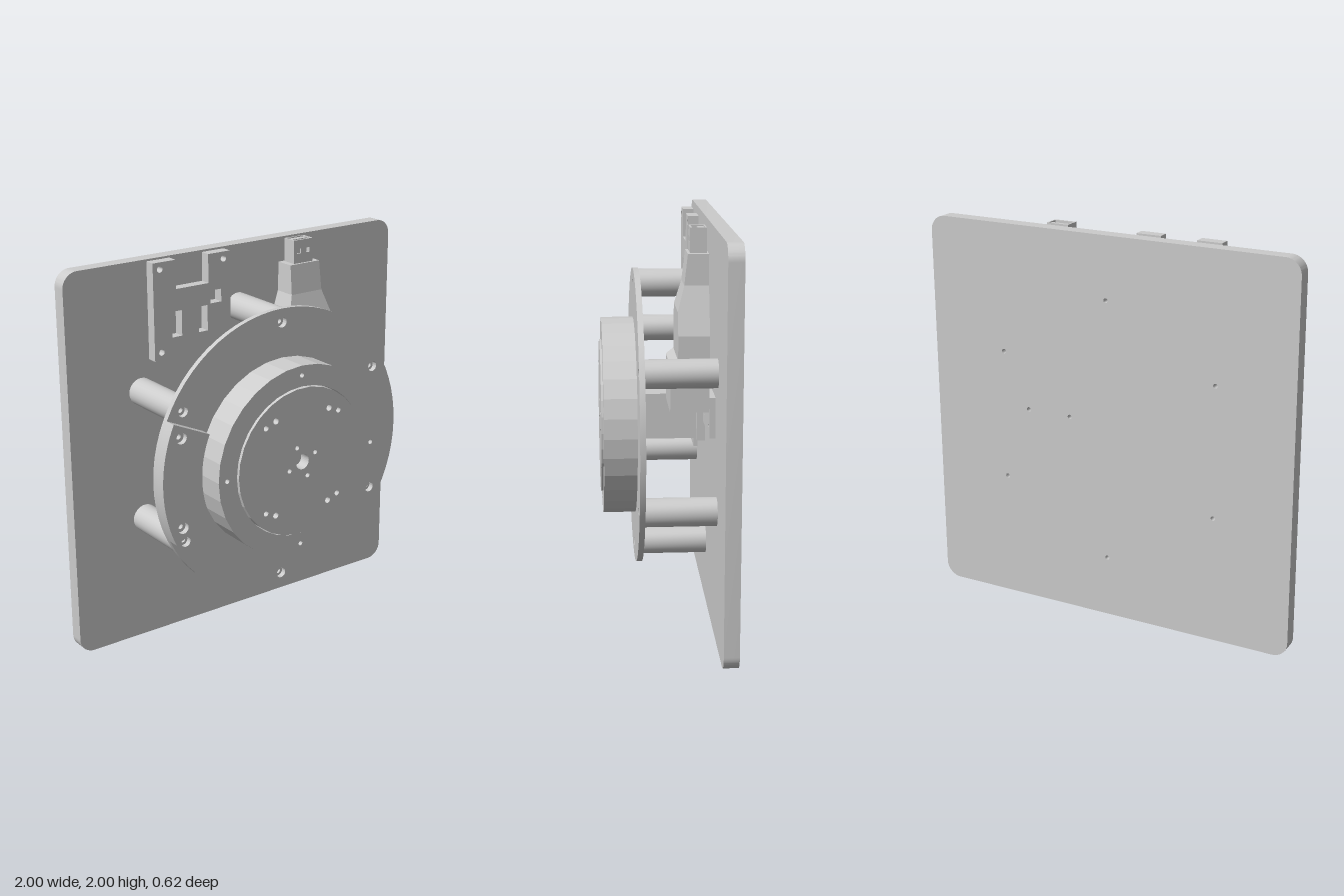
import * as THREE from 'three';
import { toCreasedNormals } from 'three/addons/utils/BufferGeometryUtils.js';

const CY = 1; // height of the turntable axis
const mat = new THREE.MeshStandardMaterial({ color: 0xcccccc });

function add(parent, name, geo) {
  const m = new THREE.Mesh(geo, mat);
  m.name = name;
  parent.add(m);
  return m;
}

function box(parent, name, x0, x1, y0, y1, z0, z1) {
  const m = add(parent, name, new THREE.BoxGeometry(x1 - x0, y1 - y0, z1 - z0));
  m.position.set((x0 + x1) / 2, (y0 + y1) / 2, (z0 + z1) / 2);
  return m;
}

const circle = (x, y, r) => new THREE.Path().absarc(x, y, r, 0, Math.PI * 2);
const disc = (x, y, r) => new THREE.Shape().absarc(x, y, r, 0, Math.PI * 2);
const points = (list) => list.map(([x, y]) => new THREE.Vector2(x, y));
const rect = (x0, x1, y0, y1) => new THREE.Path(points([[x0, y0], [x1, y0], [x1, y1], [x0, y1]]));

// Flat part with holes, spanning z0..z1
function slab(parent, name, shape, holes, z0, z1, seg = 12, crease = 0.4) {
  shape.holes.push(...holes);
  const g = new THREE.ExtrudeGeometry(shape, { depth: z1 - z0, bevelEnabled: false, curveSegments: seg });
  g.translate(0, 0, z0);
  return add(parent, name, toCreasedNormals(g, crease));
}

// Rectangular cross-sections [y, halfWidth, zFront] lofted upwards, flat back at zBack
function loft(sections, cx, zBack) {
  const rings = sections.map(([y, h, zf]) => [
    [cx - h, y, zf], [cx + h, y, zf], [cx + h, y, zBack], [cx - h, y, zBack]]);
  const pos = [];
  const quad = (a, b, c, d) => pos.push(...a, ...b, ...c, ...a, ...c, ...d);
  for (let i = 0; i + 1 < rings.length; i++) {
    for (let k = 0; k < 4; k++) {
      const n = (k + 1) % 4;
      quad(rings[i][k], rings[i][n], rings[i + 1][n], rings[i + 1][k]);
    }
  }
  const top = rings[rings.length - 1], bot = rings[0];
  quad(...top);
  quad(bot[3], bot[2], bot[1], bot[0]);
  const g = new THREE.BufferGeometry();
  g.setAttribute('position', new THREE.Float32BufferAttribute(pos, 3));
  g.computeVertexNormals();
  return g;
}

export function createModel() {
  const root = new THREE.Group();
  root.name = 'turntableAssembly';

  // Six mounting points around the axis
  const mounts = [];
  for (let i = 0; i < 6; i++) {
    const a = Math.PI / 2 + i * Math.PI / 3;
    mounts.push([0.68 * Math.cos(a), CY + 0.68 * Math.sin(a)]);
  }

  // Back plate with rounded corners
  const r = 0.08, plate = new THREE.Shape();
  plate.absarc(1 - r, 2 - r, r, 0, Math.PI / 2);
  plate.absarc(-1 + r, 2 - r, r, Math.PI / 2, Math.PI);
  plate.absarc(-1 + r, r, r, Math.PI, Math.PI * 1.5);
  plate.absarc(1 - r, r, r, Math.PI * 1.5, Math.PI * 2);
  const plateHoles = [...mounts, [0.21, 1.05], [0.45, 1.05]].map(([x, y]) => circle(x, y, 0.012));
  slab(root, 'backPlate', plate, plateHoles, -0.31, -0.235, 8);

  // Hollow standoffs
  for (const [x, y] of mounts) {
    slab(root, 'standoff', disc(x, y, 0.07), [circle(x, y, 0.014)], -0.235, 0.11, 12);
  }

  // Flange disc
  slab(root, 'flange', disc(0, CY, 0.75), mounts.map(([x, y]) => circle(x, y, 0.027)), 0.11, 0.138, 36);

  // Bearing ring
  const ringHoles = [circle(0, CY, 0.393)];
  for (let i = 0; i < 4; i++) {
    const a = i * Math.PI / 2;
    ringHoles.push(circle(0.45 * Math.cos(a), CY + 0.45 * Math.sin(a), 0.012));
  }
  slab(root, 'bearingRing', disc(0, CY, 0.5), ringHoles, 0.138, 0.3, 16, 0.1);

  // Rotor face with screw holes and centre bore
  const rotorHoles = [circle(0, CY, 0.04)];
  for (const sx of [-1, 1]) {
    for (const sy of [-1, 1]) {
      rotorHoles.push(circle(sx * 0.225, CY + sy * 0.225, 0.014));
      rotorHoles.push(circle(sx * 0.165, CY + sy * 0.25, 0.016));
    }
  }
  for (const [x, y] of [[-0.033, 0.08], [0.08, 0.033], [-0.08, -0.033], [0.033, -0.08]]) {
    rotorHoles.push(circle(x, CY + y, 0.012));
  }
  slab(root, 'rotor', disc(0, CY, 0.388), rotorHoles, 0.138, 0.31, 15, 0.1);
  slab(root, 'shaft', disc(0, CY, 0.039), [circle(0, CY, 0.012)], 0.138, 0.25);

  // Raised cover: an arc-shaped block on the flange
  const half = THREE.MathUtils.degToRad(24.6);
  const cover = new THREE.Shape();
  cover.absarc(0, CY, 0.75, Math.PI - half, Math.PI + half, false);
  cover.absarc(0, CY, 0.526, Math.PI + half, Math.PI - half, true);
  const coverScrews = [[-0.64, 1.234], [-0.64, 0.768]];
  slab(root, 'cableCover', cover, coverScrews.map(([x, y]) => circle(x, y, 0.03)), 0.138, 0.198, 10);
  for (const [x, y] of coverScrews) {
    slab(root, 'coverScrew', disc(x, y, 0.03), [circle(x, y, 0.014)], 0.138, 0.17, 8);
  }

  // Drive motor behind the flange, with its front and rear mounting lugs
  const motor = new THREE.Group();
  motor.name = 'driveMotor';
  root.add(motor);
  box(motor, 'motorBody', -0.335, 0.06, 0.885, 1.12, -0.22, 0.11);
  box(motor, 'motorFlange', -0.385, 0.06, 0.83, 1.18, 0.09, 0.11);
  box(motor, 'rearLug', -0.3, 0.02, 0.83, 0.89, -0.19, -0.17);
  box(motor, 'rearCap', 0.06, 0.115, 0.885, 1.12, -0.22, -0.178);

  // Circuit board with a top notch, corner holes and cut-outs
  const board = new THREE.Shape(points([
    [-0.56, 1.51], [-0.11, 1.51], [-0.11, 2], [-0.24, 2],
    [-0.24, 1.855], [-0.43, 1.855], [-0.43, 2], [-0.56, 2]]));
  slab(root, 'circuitBoard', board, [
    circle(-0.52, 1.965, 0.016), circle(-0.15, 1.965, 0.016),
    circle(-0.52, 1.55, 0.016), circle(-0.15, 1.55, 0.016),
    rect(-0.457, -0.4, 1.615, 1.745), rect(-0.3, -0.248, 1.615, 1.745),
    rect(-0.23, -0.165, 1.75, 1.815)], -0.2, -0.145, 8);

  // Plug adapter: tapered housing
  const cx = 0.328;
  const adapter = new THREE.Group();
  adapter.name = 'plugAdapter';
  root.add(adapter);
  add(adapter, 'adapterHousing', loft([
    [1.145, 0.172, -0.018], [1.35, 0.172, -0.018], [1.38, 0.172, -0.055], [1.5, 0.172, -0.055],
    [1.61, 0.135, -0.055], [1.73, 0.096, -0.088], [1.88, 0.092, -0.105]], cx, -0.206));

  // Plug shell: front wall with two windows, sides, back and inner tongue
  const px0 = cx - 0.06, px1 = cx + 0.06;
  const face = new THREE.Shape(points([[px0, 1.88], [px1, 1.88], [px1, 2], [px0, 2]]));
  slab(adapter, 'plugFront', face,
    [rect(cx - 0.04, cx - 0.015, 1.93, 1.955), rect(cx + 0.015, cx + 0.04, 1.93, 1.955)], -0.128, -0.118);
  for (const x of [px0, px1 - 0.008]) box(adapter, 'plugSide', x, x + 0.008, 1.88, 2, -0.19, -0.128);
  box(adapter, 'plugBack', px0, px1, 1.88, 2, -0.198, -0.19);
  box(adapter, 'plugTongue', px0 + 0.008, px1 - 0.008, 1.88, 1.995, -0.19, -0.158);

  // Adapter bracket and retaining clip
  slab(adapter, 'adapterBracket', new THREE.Shape(points([[0.155, 1], [0.5, 1], [0.5, 1.2], [0.155, 1.2]])),
    [circle(0.21, 1.05, 0.012), circle(0.45, 1.05, 0.012)], -0.235, -0.206, 8);
  box(adapter, 'clipPlate', 0.17, 0.485, 1.125, 1.145, -0.206, -0.018);
  box(adapter, 'clipCatch', 0.26, 0.395, 1.11, 1.13, -0.13, -0.04);

  return root;
}
